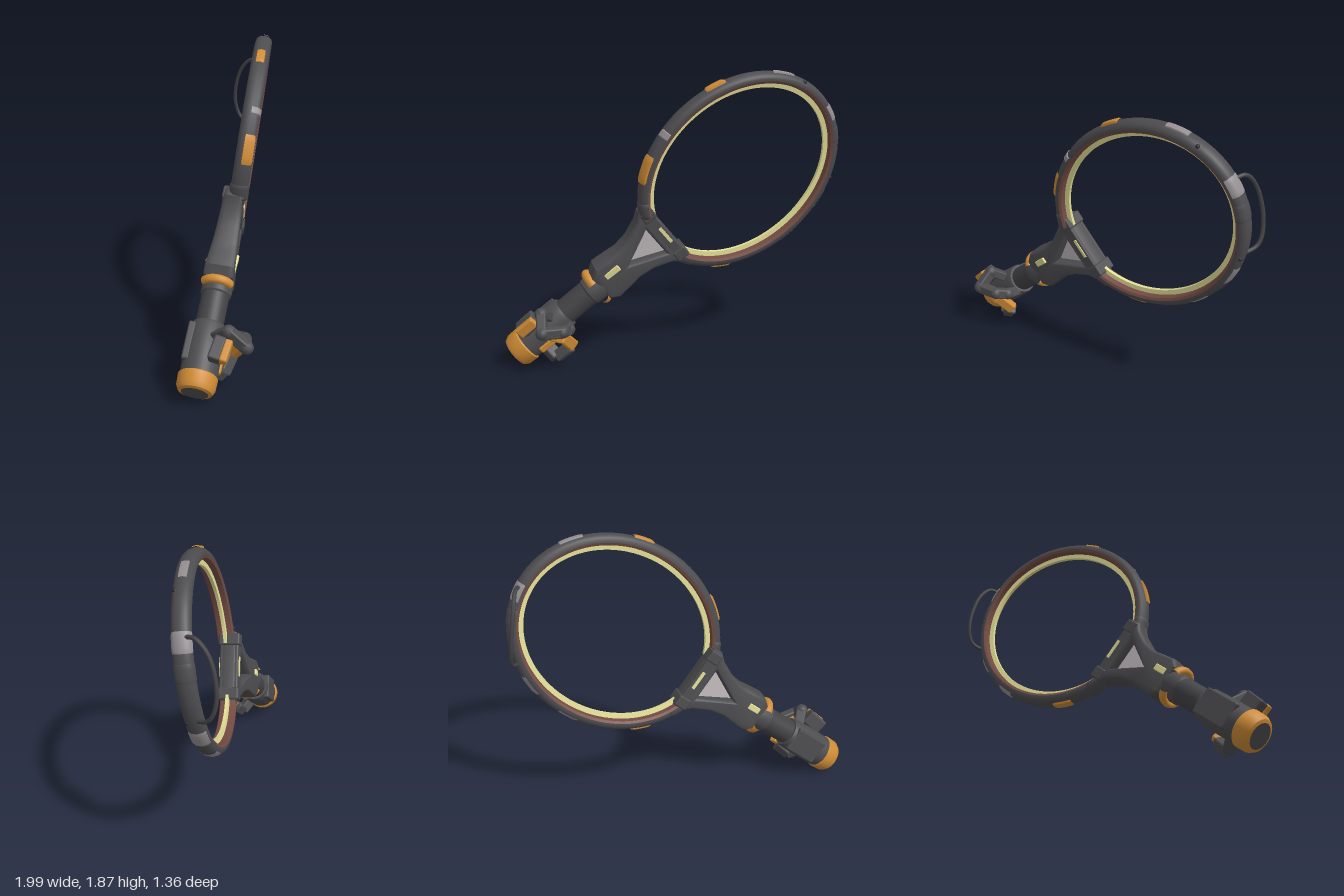
import * as THREE from 'three';
import { toCreasedNormals } from 'three/addons/utils/BufferGeometryUtils.js';
import { RoundedBoxGeometry } from 'three/addons/geometries/RoundedBoxGeometry.js';

const mat = (name, color) => new THREE.MeshStandardMaterial({ name, color });
const V = (x, y, z) => new THREE.Vector3(x, y, z);
const RX = 0.566, RY = 0.675; // hoop half width and half length

// Group whose y runs along the given axis and whose z is the facing direction
function framed(name, axis, facing, position) {
  const g = new THREE.Group();
  g.name = name;
  const up = axis.normalize();
  const side = up.clone().cross(facing).normalize();
  g.quaternion.setFromRotationMatrix(new THREE.Matrix4().makeBasis(side, up, side.clone().cross(up)));
  g.position.copy(position);
  return g;
}

export function createModel() {
  const charcoal = mat('charcoal', 0x4d4d50);
  const shaftGrey = mat('shaft grey', 0x434346);
  const orange = mat('orange', 0xd08c35);
  const yellow = mat('pale yellow', 0xe4e098);
  const brown = mat('red brown', 0x764c44);
  const grey = mat('light grey', 0x958f92);
  const panelGrey = mat('panel grey', 0xc0b9bc);
  const black = mat('near black', 0x2c2c2e);

  const model = new THREE.Group();
  const handle = framed('handle', V(0.71, 0.62, -0.33), V(0.49, -0.12, 0.86), V(0.38, 1.225, -0.135));
  // The hoop leans back slightly from the handle
  const hoop = framed('hoop', V(0.7, 0.61, -0.37), V(0.555, -0.14, 0.82), V(0.403, 1.222, -0.158));
  model.add(handle, hoop);

  const add = (name, geo, material, x = 0, y = 0, z = 0, parent = handle) => {
    const m = new THREE.Mesh(geo, material);
    m.name = name;
    m.position.set(x, y, z);
    parent.add(m);
    return m;
  };
  const box = (name, w, h, d, material, x, y, z, r = 0.012) =>
    add(name, new RoundedBoxGeometry(w, h, d, 2, r), material, x, y, z);

  // Sweeps a profile of [radial, depth] points along part of the hoop; raised pieces slope down at both ends
  const sweep = (name, profile, from, to, material, lift = 0) => {
    const rows = Math.max(8, Math.ceil((to - from) / 3));
    const pos = [], idx = [], n = profile.length;
    for (let i = 0; i <= rows; i++) {
      const t = THREE.MathUtils.degToRad(from + (to - from) * i / rows);
      const nrm = new THREE.Vector2(Math.cos(t) / RX, Math.sin(t) / RY).normalize();
      const k = i === 0 || i === rows ? 1 : 1 + lift;
      for (const [r, w] of profile) {
        pos.push(Math.cos(t) * RX + nrm.x * r * k, Math.sin(t) * RY + nrm.y * r * k, w * k);
      }
    }
    for (let i = 0; i < rows; i++) for (let j = 0; j < n - 1; j++) {
      const a = i * n + j, b = a + n;
      idx.push(a, b, b + 1, a, b + 1, a + 1);
    }
    const g = new THREE.BufferGeometry();
    g.setAttribute('position', new THREE.Float32BufferAttribute(pos, 3));
    g.setIndex(idx);
    return add(name, toCreasedNormals(g, 0.7), material, 0, 0, 0, hoop);
  };

  // Hoop: outer shell, inner lining and glowing inner rib
  const shell = [[-0.006, -0.055], [0.006, -0.055], [0.024, -0.049], [0.038, -0.032], [0.045, 0],
    [0.038, 0.032], [0.024, 0.049], [0.006, 0.055], [-0.006, 0.055]];
  sweep('hoopShell', shell, -71, 251, charcoal);
  sweep('hoopLining', [[-0.006, 0.055], [-0.022, 0.047], [-0.027, 0.012], [-0.027, -0.012], [-0.022, -0.047],
    [-0.006, -0.055]], -71, 251, brown);
  sweep('hoopGlowRib', [[-0.024, 0.014], [-0.057, 0.01], [-0.057, -0.01], [-0.024, -0.014]], -71, 251, yellow);

  // Clips, bands and cuffs on the hoop
  const strip = [[0.03, -0.026], [0.046, -0.022], [0.05, 0], [0.046, 0.022], [0.03, 0.026]];
  const frontStrip = [[0.035, -0.014], [0.05, -0.01], [0.043, 0.032], [0.03, 0.048], [0.018, 0.048]];
  sweep('orangeClip', frontStrip, 213, 229, orange, 0.1);
  sweep('orangeClip', strip, 159, 170, orange, 0.12);
  sweep('orangeClip', strip, 312, 324, orange, 0.12);
  sweep('greyBand', shell.slice(1, 8), 78, 89, grey, 0.05);
  sweep('greyBand', shell.slice(2, 7), 21, 33, grey, 0.05);
  sweep('greyBand', shell.slice(2, 7), -5, 6, grey, 0.03);
  sweep('greyBand', strip, 119, 132, grey, 0.03);
  sweep('greyTab', shell.slice(4, 8), 198, 202, grey, 0.12);
  for (const [t, lift] of [[-66, 0.12], [246, 0.12], [68, 0.05]]) sweep('hoopCuff', shell, t - 5, t + 5, charcoal, lift);
  for (const t of [40, 112]) {
    const a = THREE.MathUtils.degToRad(t);
    add('rivet', new THREE.SphereGeometry(0.014, 10, 8), black,
      Math.cos(a) * (RX + 0.03), Math.sin(a) * (RY + 0.03), 0.036, hoop);
  }

  // Throat: forked yoke with a triangular window, thicker toward the handle
  const half = [[0.095, -1.14], [0.137, -1.08], [0.13, -0.98], [0.122, -0.9], [0.14, -0.8], [0.19, -0.69],
    [0.232, -0.64], [0.23, -0.57]];
  const yoke = new THREE.Shape([...half, ...half.map(([x, y]) => [-x, y]).reverse()].map(p => new THREE.Vector2(...p)));
  const tri = [[0, -0.9], [-0.108, -0.675], [0.108, -0.675]].map(p => new THREE.Vector2(...p));
  yoke.holes.push(new THREE.Path(tri));
  const yokeGeo = new THREE.ExtrudeGeometry(yoke, {
    depth: 0.06, bevelThickness: 0.03, bevelSize: 0.025, bevelOffset: -0.025, bevelSegments: 3,
  });
  yokeGeo.translate(0, 0, -0.03);
  const yp = yokeGeo.attributes.position;
  for (let i = 0; i < yp.count; i++) {
    yp.setZ(i, yp.getZ(i) * THREE.MathUtils.mapLinear(yp.getY(i), -1.1, -0.6, 1.55, 1.0));
  }
  add('throatYoke', toCreasedNormals(yokeGeo, 0.6), charcoal);
  const panel = new THREE.ExtrudeGeometry(new THREE.Shape(tri), { depth: 0.016, bevelEnabled: false });
  add('throatPanel', panel, panelGrey, 0, 0, -0.008);
  box('throatBridge', 0.4, 0.085, 0.125, charcoal, 0, -0.615, 0);
  for (const s of [-1, 1]) {
    box('bridgeBlock', 0.08, 0.09, 0.14, charcoal, s * 0.18, -0.605, 0);
    add('bridgeLight', new THREE.BoxGeometry(0.13, 0.022, 0.008), yellow, 0, -0.6, s * 0.064);
  }
  box('neckLightFront', 0.042, 0.11, 0.016, yellow, -0.048, -1.01, 0.088, 0.006).rotation.x = 0.06;
  box('neckLightBack', 0.042, 0.09, 0.016, yellow, -0.035, -1.05, -0.09, 0.006).rotation.x = -0.06;

  // Handle turned around the y axis
  const turn = (name, pts, material) => add(name, toCreasedNormals(
    new THREE.LatheGeometry(pts.map(p => new THREE.Vector2(...p)), 28), 0.6), material);
  turn('endCap', [[0.08, -1.845], [0.1, -1.838], [0.115, -1.81], [0.118, -1.745], [0.108, -1.735]], orange);
  turn('endDisc', [[0, -1.842], [0.084, -1.842]], charcoal);
  turn('gripSleeve', [[0.11, -1.745], [0.112, -1.6], [0.108, -1.44], [0.1, -1.42], [0.08, -1.42]], charcoal);
  turn('shaft', [[0.085, -1.45], [0.085, -1.18]], shaftGrey);
  turn('shaftRing', [[0.085, -1.225], [0.094, -1.215], [0.097, -1.12], [0.09, -1.1]], charcoal);
  box('gripBackBlock', 0.17, 0.24, 0.045, charcoal, 0, -1.56, -0.09);

  // Orange collar halves on both sides of the neck
  for (const s of [-1, 1]) {
    const arc = new THREE.TorusGeometry(0.1, 0.022, 10, 20, 2.1);
    arc.rotateZ(-1.05).rotateX(Math.PI / 2);
    const collar = add('collarClip', arc, orange, s * 0.012, -1.16, 0);
    collar.rotation.y = s < 0 ? Math.PI : 0;
    collar.scale.set(1, 1.25, 0.95);
  }

  // Jointed claw wrapped around the front of the grip
  const beam = (name, a, b, w, d, material) => {
    const dir = b.clone().sub(a), mid = a.clone().add(b).multiplyScalar(0.5);
    const m = box(name, w, dir.length() + 0.02, d, material, mid.x, mid.y, mid.z);
    m.quaternion.setFromUnitVectors(V(0, 1, 0), dir.normalize());
  };
  const joints = [V(-0.08, -1.51, 0.06), V(-0.165, -1.51, 0.135), V(-0.115, -1.565, 0.25),
    V(-0.02, -1.475, 0.225), V(0.03, -1.45, 0.16), V(0.05, -1.46, 0.07)];
  joints.slice(1).forEach((p, i) => {
    beam('clawLink', joints[i], p, 0.07, 0.062, charcoal);
    add('clawJoint', new THREE.SphereGeometry(0.042, 12, 8), charcoal, p.x, p.y, p.z);
  });
  beam('clawPlate', V(-0.158, -1.69, 0.135), V(-0.166, -1.575, 0.15), 0.07, 0.045, orange);
  beam('clawBracket', V(-0.14, -1.68, 0.08), V(-0.155, -1.56, 0.1), 0.1, 0.07, charcoal);
  beam('fingerPlate', V(-0.07, -1.545, 0.235), V(0.01, -1.515, 0.215), 0.06, 0.05, orange);
  beam('fingerPlate', V(0.02, -1.5, 0.21), V(0.135, -1.505, 0.16), 0.075, 0.055, orange);
  beam('fingerLink', V(0.14, -1.53, 0.15), V(0.15, -1.63, 0.125), 0.075, 0.065, charcoal);
  beam('fingerBase', V(0.145, -1.64, 0.12), V(0.08, -1.65, 0.07), 0.08, 0.07, charcoal);
  beam('triggerPlate', V(0.05, -1.68, 0.105), V(0.05, -1.59, 0.108), 0.045, 0.03, orange);

  // Cable loop behind the tip
  const path = new THREE.CatmullRomCurve3([V(0.9, 1.62, -0.44), V(0.892, 1.63, -0.52), V(0.878, 1.54, -0.605),
    V(0.89, 1.32, -0.66), V(0.912, 1.19, -0.625), V(0.912, 1.14, -0.5)]);
  add('cableLoop', new THREE.TubeGeometry(path, 40, 0.013, 8), shaftGrey, 0, 0, 0, model);
  return model;
}
